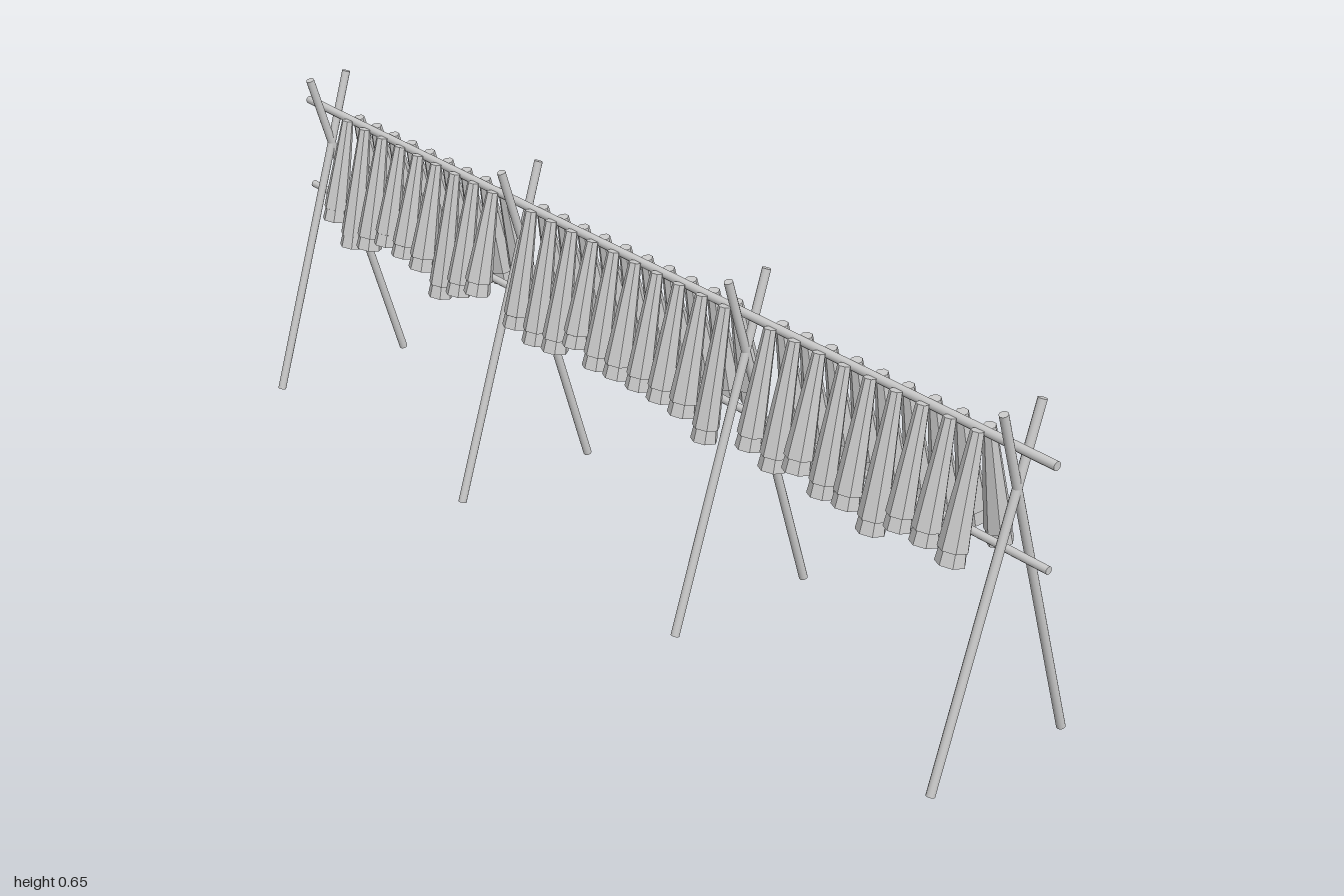
import * as THREE from 'three';

const UP = new THREE.Vector3(0, 1, 0);
const poleMat = new THREE.MeshStandardMaterial({ color: 0xcccccc });
const bundleMat = new THREE.MeshStandardMaterial({ color: 0xcccccc, flatShading: true });

// Place a y-aligned mesh between two points
function align(mesh, from, to) {
  mesh.position.copy(from).add(to).multiplyScalar(0.5);
  mesh.quaternion.setFromUnitVectors(UP, to.clone().sub(from).normalize());
  return mesh;
}

function pole(name, from, to, radius) {
  const geo = new THREE.CylinderGeometry(radius, radius, from.distanceTo(to), 12);
  const mesh = align(new THREE.Mesh(geo, poleMat), from, to);
  mesh.name = name;
  return mesh;
}

// Hanging bundle: narrow top, flaring body, slightly narrower cut end
function bundle(x, bottom, side, radius) {
  const from = new THREE.Vector3(x, bottom + 0.005, side * 0.056);
  const to = new THREE.Vector3(x, 0.579, side * 0.013);
  const h = from.distanceTo(to) / 2;
  const profile = [
    [0, -h], [radius * 0.98, -h], [radius * 0.88, -h + 0.024],
    [radius, -h + 0.025], [0.0115, h], [0, h],
  ].map(([r, y]) => new THREE.Vector2(r, y));
  const geo = new THREE.LatheGeometry(profile, 7);
  const mesh = align(new THREE.Mesh(geo, bundleMat), from, to);
  mesh.name = side > 0 ? 'frontBundle' : 'backBundle';
  return mesh;
}

export function createModel() {
  const model = new THREE.Group();
  model.name = 'dryingRack';
  const v = (x, y, z) => new THREE.Vector3(x, y, z);

  // Long horizontal poles
  model.add(pole('ridgePole', v(-1, 0.575, 0), v(1, 0.575, 0), 0.008));
  model.add(pole('lowerPole', v(-1, 0.393, 0), v(1, 0.393, 0), 0.007));

  // Crossed leg pairs
  for (const x of [-0.928, -0.31, 0.307, 0.925]) {
    const pair = new THREE.Group();
    pair.name = 'crossedLegs';
    for (const s of [1, -1]) {
      pair.add(pole(s > 0 ? 'frontLeg' : 'backLeg', v(x, 0.0025, s * 0.153), v(x, 0.647, s * -0.043), 0.008));
    }
    model.add(pair);
  }

  // Three bays of bundles: first x and lower end of each bundle
  const bays = [
    [-0.847, [0.374, 0.337, 0.353, 0.38, 0.376, 0.37, 0.333, 0.358, 0.38]],
    [-0.262, [0.354, 0.343, 0.349, 0.38, 0.36, 0.364, 0.364, 0.364, 0.36, 0.333]],
    [0.379, [0.364, 0.349, 0.37, 0.349, 0.354, 0.333, 0.364, 0.364, 0.354]],
  ];
  for (const [x0, ends] of bays) {
    const bay = new THREE.Group();
    bay.name = 'bundleBay';
    ends.forEach((end, i) => {
      const x = x0 + i * 0.0587;
      const backEnd = Math.max(end, ends[(i + 4) % ends.length]);
      bay.add(bundle(x, end, 1, 0.0245 + (i % 3) * 0.001));
      bay.add(bundle(x, backEnd, -1, 0.0245 + ((i + 1) % 3) * 0.001));
    });
    model.add(bay);
  }
  return model;
}
